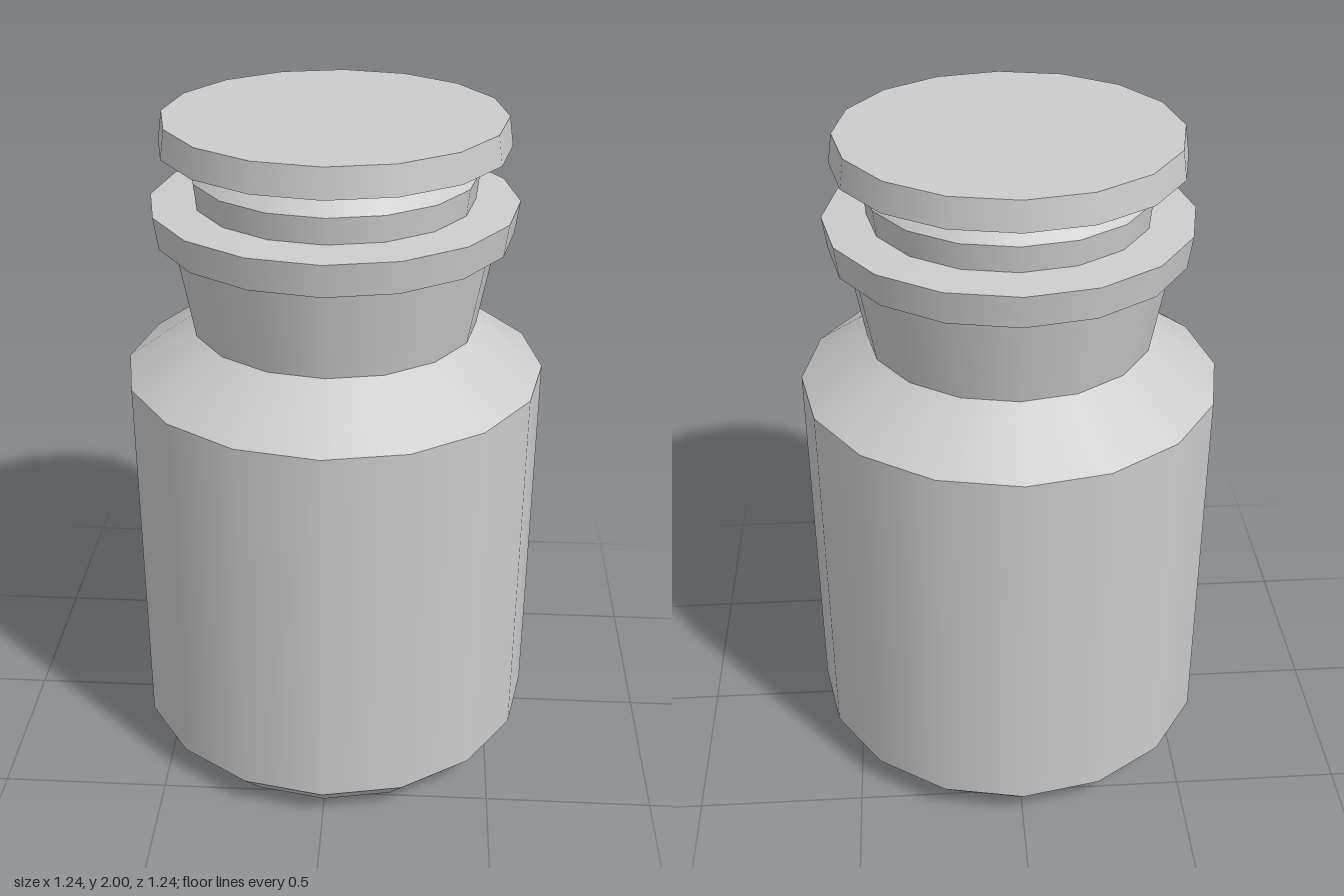
import * as THREE from 'three';
import { mergeGeometries } from 'three/addons/utils/BufferGeometryUtils.js';

const SIDES = 16;

// Turned part: one smooth band per profile step [radius, y], with hard edges between bands
function turned(name, profile, material) {
  const bands = [];
  for (let i = 0; i < profile.length - 1; i++) {
    const [r0, y0] = profile[i];
    const [r1, y1] = profile[i + 1];
    const band = new THREE.CylinderGeometry(r1, r0, y1 - y0, SIDES, 1, true);
    band.translate(0, (y0 + y1) / 2, 0);
    bands.push(band);
  }
  const mesh = new THREE.Mesh(mergeGeometries(bands), material);
  mesh.name = name;
  return mesh;
}

// Flat disc closing an end
function disc(name, radius, y, up, material) {
  const geometry = new THREE.CircleGeometry(radius, SIDES);
  geometry.rotateX(up ? -Math.PI / 2 : Math.PI / 2);
  geometry.translate(0, y, 0);
  const mesh = new THREE.Mesh(geometry, material);
  mesh.name = name;
  return mesh;
}

export function createModel() {
  const glass = new THREE.MeshStandardMaterial({ color: 0xcccccc });
  glass.name = 'pale grey glass';

  const model = new THREE.Group();
  model.name = 'stopperedJar';

  // Jar: chamfered foot, straight wall, sloping shoulder
  const jar = new THREE.Group();
  jar.name = 'jar';
  jar.add(
    disc('base', 0.53, 0, false, glass),
    turned('body', [[0.53, 0], [0.62, 0.095], [0.62, 1.245], [0.42, 1.387]], glass),
    // Flared neck
    turned('neck', [[0.42, 1.387], [0.47, 1.66]], glass),
    // Rim with a flat underside and top ledge
    turned('rim', [[0.47, 1.66], [0.515, 1.663], [0.528, 1.757], [0.4, 1.764]], glass)
  );

  // Stopper: plug, undercut neck and wide cap
  const stopper = new THREE.Group();
  stopper.name = 'stopper';
  stopper.add(
    turned('plug', [[0.402, 1.764], [0.41, 1.84], [0.352, 1.9]], glass),
    turned('cap', [[0.352, 1.9], [0.497, 1.917], [0.485, 2]], glass),
    disc('capTop', 0.485, 2, true, glass)
  );

  model.add(jar, stopper);
  return model;
}
